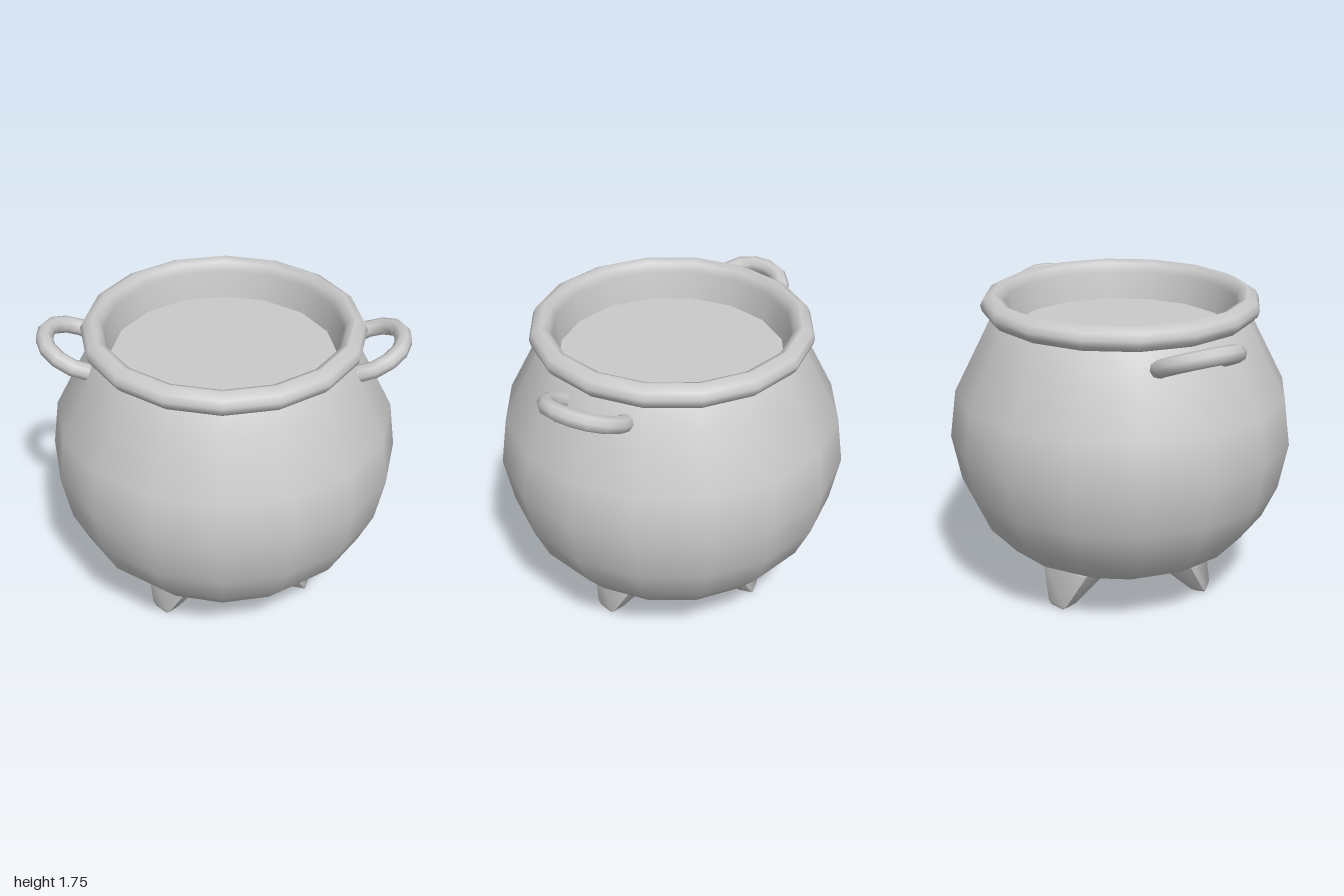
import * as THREE from 'three';
import { mergeVertices, toCreasedNormals } from 'three/addons/utils/BufferGeometryUtils.js';

const iron = new THREE.MeshStandardMaterial({ color: 0xcacaca });
iron.name = 'grey iron';

const SIDES = 16;
const lerp = THREE.MathUtils.lerp;

function part(name, geometry) {
  const mesh = new THREE.Mesh(geometry, iron);
  mesh.name = name;
  return mesh;
}

function lathe(points, sides, start = 0) {
  return new THREE.LatheGeometry(points.map(([r, y]) => new THREE.Vector2(r, y)), sides, start);
}

// Tapered foot: wide where it meets the pot, leaning outward to a small bevelled tip
function legGeometry() {
  const height = 0.23;
  let g = lathe([[0, 0], [0.8, 0], [1, 0.02], [1, height], [0, height]], 8, Math.PI / 8);
  const p = g.attributes.position;
  for (let i = 0; i < p.count; i++) {
    const x = p.getX(i), y = p.getY(i), z = p.getZ(i);
    const r = Math.hypot(x, z), t = y / height;
    // square off the octagon into a box with chamfered corners
    const sx = THREE.MathUtils.clamp(2.2 * x, -r, r);
    const sz = THREE.MathUtils.clamp(2.2 * z, -r, r);
    p.setXYZ(i, sx * lerp(0.062, 0.18, t), y, lerp(0.488, 0.34, t) + sz * lerp(0.036, 0.13, t));
  }
  g.deleteAttribute('uv');
  g.deleteAttribute('normal');
  g = mergeVertices(g);
  return toCreasedNormals(g, 0.95);
}

// Looped handle tilted upward, with closed ends
function handle(name, side) {
  const group = new THREE.Group();
  group.name = name;
  const half = [[0, 0.193], [0.09, 0.208], [0.19, 0.168], [0.257, 0.08]];
  const loop = [...half, ...half.slice().reverse().map(([u, z]) => [u, -z])];
  const tilt = 0.42, tube = 0.047;
  const path = new THREE.CatmullRomCurve3(loop.map(([u, z]) =>
    new THREE.Vector3(0.715 + u * Math.cos(tilt), 1.535 + u * Math.sin(tilt), z)));
  group.add(part('handleLoop', new THREE.TubeGeometry(path, 9, tube, 8)));
  for (const end of [0, 1]) {
    const cap = part('handleEnd', new THREE.CircleGeometry(tube, 8));
    const out = path.getTangentAt(end).multiplyScalar(end ? 1 : -1);
    cap.position.copy(path.getPointAt(end));
    cap.quaternion.setFromUnitVectors(new THREE.Vector3(0, 0, 1), out);
    group.add(cap);
  }
  if (side < 0) group.rotation.y = Math.PI;
  return group;
}

export function createModel() {
  const model = new THREE.Group();
  model.name = 'cauldron';

  // Round belly
  model.add(part('body', lathe([
    [0, 0.115], [0.21, 0.13], [0.45, 0.215], [0.675, 0.338], [0.82, 0.5],
    [0.905, 0.685], [0.957, 0.945], [0.922, 1.21], [0.765, 1.52], [0.715, 1.62], [0.69, 1.64],
  ], SIDES)));

  // Thick rolled rim, running down into the inner wall
  model.add(part('rim', lathe([
    [0.69, 1.618], [0.73, 1.63], [0.758, 1.66], [0.767, 1.692], [0.75, 1.728], [0.7, 1.755],
    [0.662, 1.738], [0.642, 1.69], [0.615, 1.532],
  ], SIDES)));

  // Flat surface inside
  model.add(part('contents', lathe([[0.62, 1.535], [0, 1.535]], SIDES)));

  // Handles
  model.add(handle('leftHandle', 1), handle('rightHandle', -1));

  // Three feet
  const leg = legGeometry();
  for (const degrees of [75, 195.5, 315]) {
    const foot = part('leg', leg);
    foot.rotation.y = THREE.MathUtils.degToRad(degrees);
    model.add(foot);
  }
  return model;
}
